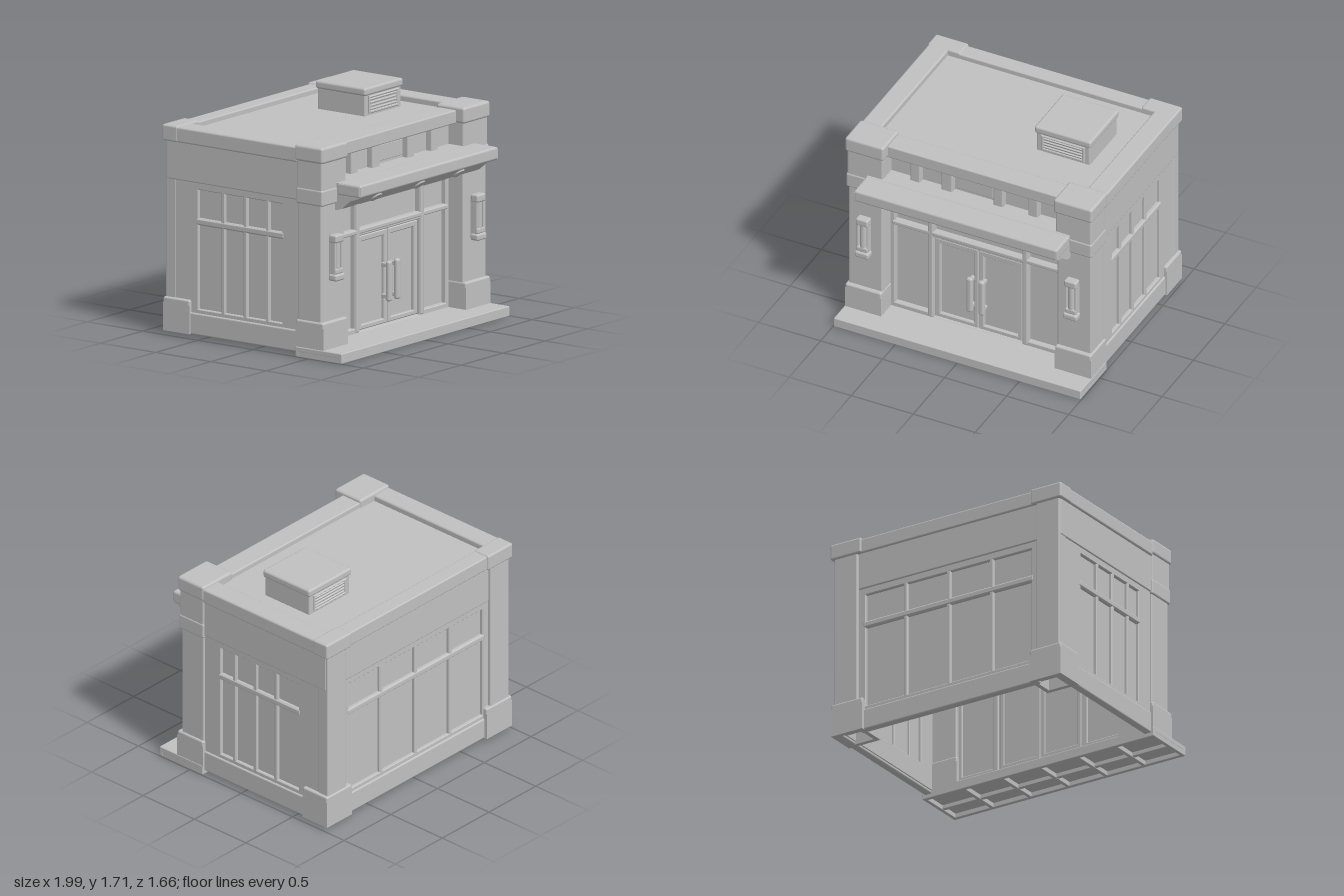
import * as THREE from 'three';
import { RoundedBoxGeometry } from 'three/addons/geometries/RoundedBoxGeometry.js';

export function createModel() {
  const model = new THREE.Group();
  model.name = 'shopBuilding';
  const clay = new THREE.MeshStandardMaterial({ color: 0xc0c0c0 });
  clay.name = 'plain grey';

  const add = (name, geometry, parent = model) => {
    const mesh = new THREE.Mesh(geometry, clay);
    mesh.name = name;
    parent.add(mesh);
    return mesh;
  };
  // Softened block given by its minimum and maximum on each axis
  const block = (name, [x0, x1], [y0, y1], [z0, z1], r = 0.012, parent = model) => {
    const w = x1 - x0, h = y1 - y0, d = z1 - z0;
    const radius = Math.min(r, Math.min(w, h, d) * 0.45);
    const mesh = add(name, new RoundedBoxGeometry(w, h, d, 2, radius), parent);
    mesh.position.set((x0 + x1) / 2, (y0 + y1) / 2, (z0 + z1) / 2);
    return mesh;
  };
  const span = (s, a, b) => (s > 0 ? [a, b] : [-b, -a]);
  const trace = (path, x0, x1, y0, y1) => {
    path.moveTo(x0, y0);
    path.lineTo(x1, y0);
    path.lineTo(x1, y1);
    path.lineTo(x0, y1);
    path.closePath();
    return path;
  };
  // Upright panel with openings, its outer face towards local +z
  const panel = (name, rect, holes, depth, z, parent) => {
    const shape = trace(new THREE.Shape(), ...rect);
    holes.forEach((h) => shape.holes.push(trace(new THREE.Path(), ...h)));
    const bevel = 0.006;
    const g = new THREE.ExtrudeGeometry(shape, {
      depth: depth - 2 * bevel, bevelEnabled: true, bevelSize: bevel,
      bevelThickness: bevel, bevelOffset: -bevel, bevelSegments: 1,
    });
    add(name, g, parent).position.z = z - depth + bevel;
  };
  // Hollow foot, open below
  const foot = (name, [x0, x1], [y0, y1], [z0, z1]) => {
    const t = 0.035;
    const shape = trace(new THREE.Shape(), x0, x1, -z1, -z0);
    shape.holes.push(trace(new THREE.Path(), x0 + t, x1 - t, -z1 + t, -z0 - t));
    const g = new THREE.ExtrudeGeometry(shape, { depth: y1 - y0 - 0.04, bevelEnabled: false });
    g.rotateX(-Math.PI / 2);
    add(name, g).position.y = y0;
    block(name + 'Top', [x0, x1], [y1 - 0.06, y1], [z0, z1], 0.015);
  };

  // Side and back walls with two rows of panes
  const windowWall = (name, angle, outer, wall, cuts, frieze) => {
    const g = new THREE.Group();
    g.name = name;
    g.rotation.y = angle;
    model.add(g);
    const holes = [];
    for (let i = 0; i < cuts.length - 1; i++) {
      const a = cuts[i] + 0.016, b = cuts[i + 1] - 0.016;
      holes.push([a, b, 0.22, 0.84], [a, b, 0.89, 1.1]);
    }
    panel(name + 'Frame', [...wall, 0.05, 1.45], holes, 0.055, outer, g);
    block('windowPanes', [cuts[0], cuts[cuts.length - 1]], [0.2, 1.12],
      [outer - 0.035, outer - 0.025], 0.001, g);
    block('upperFrieze', frieze, [1.15, 1.45], [outer - 0.03, outer + 0.01], 0.01, g);
    block('lowerBand', frieze, [0.03, 0.19], [outer - 0.05, outer + 0.012], 0.012, g);
    block('midRail', [cuts[0], cuts[cuts.length - 1]], [0.845, 0.885],
      [outer - 0.03, outer + 0.005], 0.008, g);
  };
  const zs = [0.25, 0.1, -0.1, -0.3, -0.54];
  windowWall('rightWall', -Math.PI / 2, 0.965, [-0.8, 0.4], [...zs].reverse(), [-0.8, 0.39]);
  windowWall('leftWall', Math.PI / 2, 0.965, [-0.4, 0.8], zs.map((z) => -z), [-0.39, 0.8]);
  windowWall('backWall', Math.PI, 0.79, [-0.95, 0.95], [-0.73, -0.37, 0, 0.37, 0.73], [-0.77, 0.77]);

  // Roof deck and parapet
  block('roofDeck', [-0.95, 0.95], [1.43, 1.5], [-0.78, 0.45], 0.005);
  block('backParapet', [-0.84, 0.84], [1.43, 1.54], [-0.815, -0.69]);
  block('frontParapet', [-0.7, 0.7], [1.44, 1.54], [0.38, 0.55]);

  // Corner piers and side parapets, mirrored
  for (const s of [1, -1]) {
    block('sideParapet', span(s, 0.83, 0.99), [1.43, 1.545], [-0.825, 0.39], 0.015);
    block('backCap', span(s, 0.73, 0.995), [1.43, 1.55], [-0.83, -0.69], 0.015);
    block('backPier', span(s, 0.77, 0.97), [0.18, 1.45], [-0.815, -0.72]);
    foot('backFoot', span(s, 0.72, 0.99), [0.03, 0.28], [-0.825, -0.585]);

    block('frontPierShaft', span(s, 0.705, 0.978), [0.2, 1.2], [0.385, 0.6]);
    block('frontPierHead', span(s, 0.695, 0.985), [1.13, 1.47], [0.38, 0.612], 0.015);
    block('frontPierBand', span(s, 0.69, 0.99), [1.13, 1.25], [0.378, 0.618], 0.015);
    block('frontPierCap', span(s, 0.685, 0.997), [1.445, 1.565], [0.37, 0.625], 0.02);
    foot('frontPierFoot', span(s, 0.7, 0.992), [0.04, 0.275], [0.38, 0.63]);

    // Wall lantern
    const lantern = new THREE.Group();
    lantern.name = 'wallLantern';
    lantern.position.set(s * 0.84, 0, 0);
    model.add(lantern);
    block('lanternPlate', [-0.045, 0.045], [0.58, 0.9], [0.59, 0.62], 0.01, lantern);
    block('lanternTop', [-0.05, 0.05], [0.85, 0.91], [0.6, 0.668], 0.015, lantern);
    block('lanternBase', [-0.056, 0.056], [0.57, 0.62], [0.6, 0.672], 0.015, lantern);
    block('lanternCollar', [-0.045, 0.045], [0.62, 0.66], [0.6, 0.662], 0.01, lantern);
    const tube = add('lanternTube', new THREE.CylinderGeometry(0.026, 0.026, 0.24, 16), lantern);
    tube.position.set(0, 0.75, 0.635);
    for (const e of [-1, 1])
      block('lanternBar', [e * 0.039 - 0.007, e * 0.039 + 0.007], [0.62, 0.87], [0.61, 0.655], 0.005, lantern);
  }

  // Shopfront frame, glazing and doors
  const doors = [[-0.355, 0.36, 0.08, 0.785]];
  const panes = [[-0.67, -0.405], [0.405, 0.67]].flatMap(([a, b]) => [[a, b, 0.11, 0.8], [a, b, 0.84, 1.02]]);
  panel('shopfrontFrame', [-0.71, 0.71, 0.06, 1.3],
    [...panes, [-0.355, 0.36, 0.84, 1.02], ...doors], 0.06, 0.47, model);
  block('shopfrontGlass', [-0.69, 0.69], [0.07, 1.05], [0.42, 0.429], 0.001);
  block('transomRail', [-0.69, 0.69], [0.803, 0.837], [0.43, 0.48], 0.01);
  for (const x of [-0.38, 0.382]) block('shopfrontPost', [x - 0.02, x + 0.02], [0.08, 1.04], [0.43, 0.48], 0.01);
  for (const s of [1, -1]) {
    panel('doorLeaf', [...span(s, 0.004, 0.352), 0.085, 0.778],
      [[...span(s, 0.04, 0.312), 0.12, 0.735]], 0.04, 0.455, model);
    const x = s * 0.048;
    block('doorHandle', [x - 0.024, x + 0.024], [0.255, 0.555], [0.485, 0.525], 0.018);
    for (const y of [0.29, 0.52]) block('handleMount', [x - 0.015, x + 0.015], [y - 0.015, y + 0.015], [0.44, 0.5], 0.005);
  }

  // Frieze above the awning
  const bays = [[-0.68, -0.52], [-0.44, -0.27], [-0.18, 0.15], [0.23, 0.43], [0.51, 0.68]];
  block('friezeBack', [-0.71, 0.71], [1.2, 1.46], [0.43, 0.475], 0.003);
  for (let i = 0; i < bays.length - 1; i++)
    block('friezePost', [bays[i][1], bays[i + 1][0]], [1.2, 1.46], [0.46, 0.525], 0.012);
  block('friezePanel', [-0.16, 0.13], [1.3, 1.42], [0.46, 0.485], 0.006);

  // Awning with sloping underside and recessed lights
  const profile = new THREE.Shape();
  [[0.45, 1.28], [0.82, 1.28], [0.83, 1.27], [0.83, 1.2], [0.81, 1.185], [0.74, 1.16],
    [0.66, 1.095], [0.62, 1.08], [0.45, 1.08]].forEach(([z, y], i) =>
    (i ? profile.lineTo(-z, y) : profile.moveTo(-z, y)));
  const awning = new THREE.ExtrudeGeometry(profile, { depth: 1.63, bevelEnabled: false });
  awning.rotateY(Math.PI / 2);
  awning.translate(-0.815, 0, 0);
  add('awning', awning);
  block('awningLip', [-0.82, 0.82], [1.19, 1.285], [0.62, 0.832], 0.018);
  for (const x of [-0.46, 0.05, 0.52]) {
    const light = add('awningLight', new THREE.CylinderGeometry(0.055, 0.045, 0.02, 20));
    light.position.set(x, 1.127, 0.7);
    light.rotation.x = -0.68;
  }

  // Front step, hollow and ribbed beneath
  block('stepTop', [-0.997, 0.995], [0.035, 0.075], [0.38, 0.8], 0.008);
  block('stepFront', [-0.997, 0.995], [0, 0.07], [0.77, 0.8], 0.006);
  block('stepBack', [-0.997, 0.995], [0, 0.07], [0.38, 0.41], 0.006);
  block('stepRail', [-0.98, 0.98], [0.005, 0.06], [0.6, 0.63], 0.004);
  for (let i = 0; i <= 6; i++) {
    const x = -0.982 + i * 0.327;
    block('stepRib', [x - 0.014, x + 0.014], [0, 0.06], [0.385, 0.795], 0.004);
  }

  // Rooftop ventilation unit, louvred front and back
  block('ventBody', [0.26, 0.69], [1.48, 1.67], [-0.38, 0.05], 0.01);
  block('ventLid', [0.247, 0.703], [1.65, 1.71], [-0.393, 0.063], 0.018);
  for (const [z, s] of [[0.05, 1], [-0.38, -1]]) {
    const grille = new THREE.Group();
    grille.name = 'ventGrille';
    grille.position.set(0.475, 0, z);
    if (s < 0) grille.rotation.y = Math.PI;
    model.add(grille);
    panel('grilleFrame', [-0.175, 0.175, 1.515, 1.645], [[-0.155, 0.155, 1.535, 1.628]], 0.018, 0.012, grille);
    for (let i = 0; i < 4; i++) {
      const y = 1.545 + i * 0.024;
      block('louvre', [-0.155, 0.155], [y - 0.007, y + 0.007], [-0.01, 0.009], 0.003, grille).rotation.x = 0.4;
    }
  }
  return model;
}
